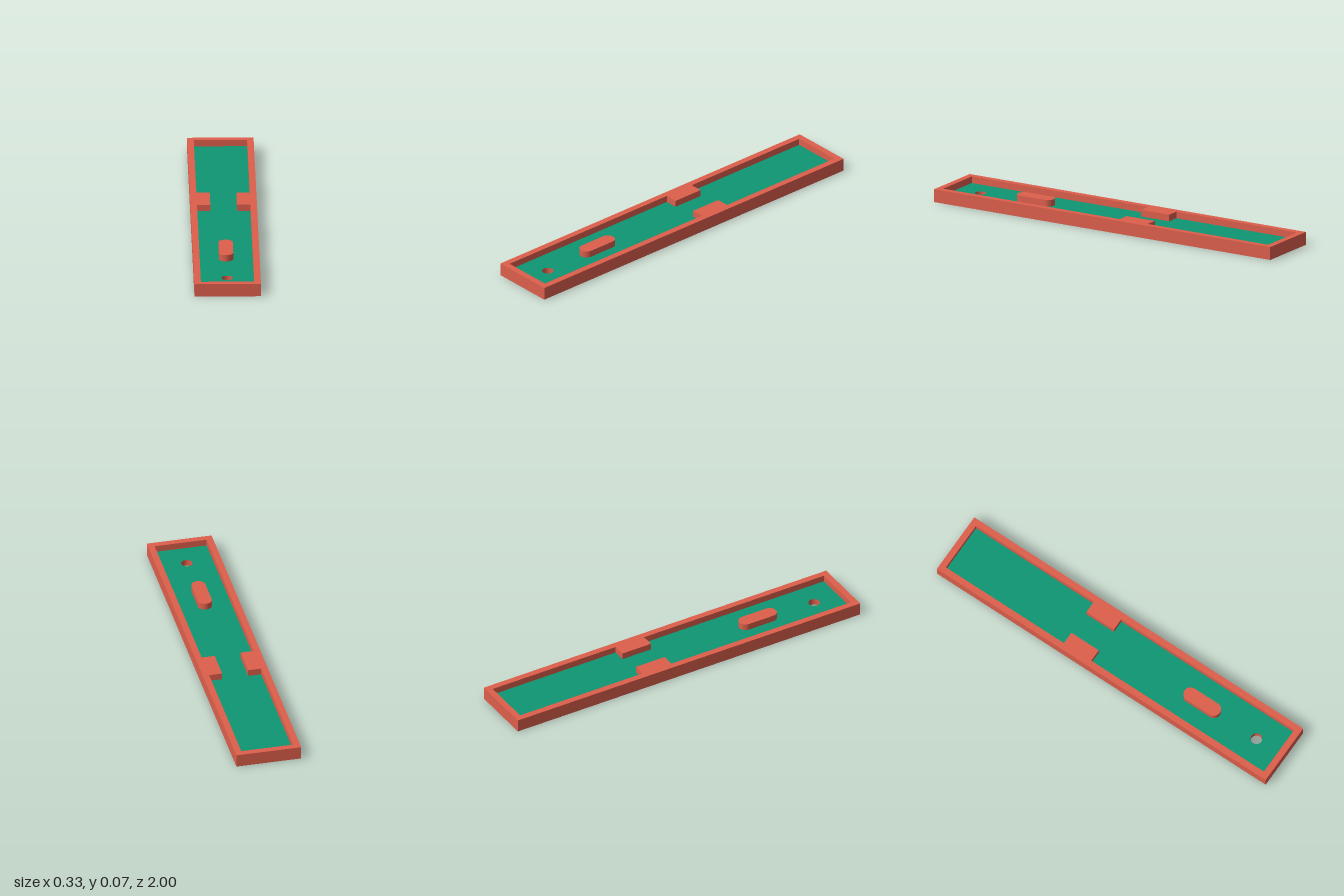
import * as THREE from 'three';

const HEIGHT = 0.067, FLOOR = 0.033;
const HALF_W = 0.167, HALF_L = 1;
const IN_W = 0.134, IN_L = 0.967;
const HOLE_Z = 0.83, HOLE_R = 0.029;

const red = new THREE.MeshStandardMaterial({ color: 0xdd5f4c });
const redThin = new THREE.MeshStandardMaterial({ color: 0xdd5f4c, side: THREE.DoubleSide });
const green = new THREE.MeshStandardMaterial({ color: 0x0e9672 });

// Plan outlines are given as [x, z]; the shape's y axis is -z
const plan = (pts) => pts.map(([x, z]) => new THREE.Vector2(x, -z));
const outer = () => new THREE.Shape(plan([
  [-HALF_W, HALF_L], [HALF_W, HALF_L], [HALF_W, -HALF_L], [-HALF_W, -HALF_L],
]));

// Playing area, narrowed by a pair of blocks that form a gate
function floorOutline() {
  const right = [[IN_W, IN_L], [IN_W, -0.083], [0.067, -0.083], [0.067, -0.25], [IN_W, -0.25], [IN_W, -IN_L]];
  const left = right.map(([x, z]) => [-x, z]).reverse();
  return plan([...right, ...left]);
}

function withHole(shape) {
  shape.holes.push(new THREE.Path().absarc(0, -HOLE_Z, HOLE_R, 0, Math.PI * 2, true));
  return shape;
}

const flat = (shape) => new THREE.ShapeGeometry(shape, 24).rotateX(-Math.PI / 2);
const raise = (shape, depth) =>
  new THREE.ExtrudeGeometry(shape, { depth, bevelEnabled: false, curveSegments: 24 }).rotateX(-Math.PI / 2);

// Drop the lower cap of an extrusion standing on y = 0
function openBottom(geo) {
  const p = geo.attributes.position, keep = [];
  for (let i = 0; i < p.count; i += 3) {
    if (Math.max(p.getY(i), p.getY(i + 1), p.getY(i + 2)) > 1e-5) keep.push(i, i + 1, i + 2);
  }
  geo.clearGroups();
  geo.setIndex(keep);
  return geo;
}

export function createModel() {
  const group = new THREE.Group();
  const add = (name, geo, mat, y = 0, z = 0) => {
    const mesh = new THREE.Mesh(geo, mat);
    mesh.name = name;
    mesh.position.set(0, y, z);
    group.add(mesh);
  };

  // Border walls together with the gate blocks
  const rim = outer();
  rim.holes.push(new THREE.Path(floorOutline()));
  add('border', openBottom(raise(rim, HEIGHT)), red);

  // Underside, facing down
  const under = flat(withHole(outer()));
  const index = under.index.array;
  for (let i = 0; i < index.length; i += 3) [index[i], index[i + 1]] = [index[i + 1], index[i]];
  under.computeVertexNormals();
  add('underside', under, red);

  // Green playing surface
  add('floor', flat(withHole(new THREE.Shape(floorOutline()))), green, FLOOR);

  // Cup through the base
  add('cup', new THREE.CylinderGeometry(HOLE_R, HOLE_R, FLOOR, 48, 1, true), redThin, FLOOR / 2, HOLE_Z);

  // Round-ended obstacle
  const r = 0.036, h = 0.071;
  const pill = new THREE.Shape();
  pill.absarc(0, h, r, 0, Math.PI, false);
  pill.absarc(0, -h, r, Math.PI, Math.PI * 2, false);
  add('obstacle', raise(pill, HEIGHT - FLOOR), red, FLOOR, 0.5);

  return group;
}
